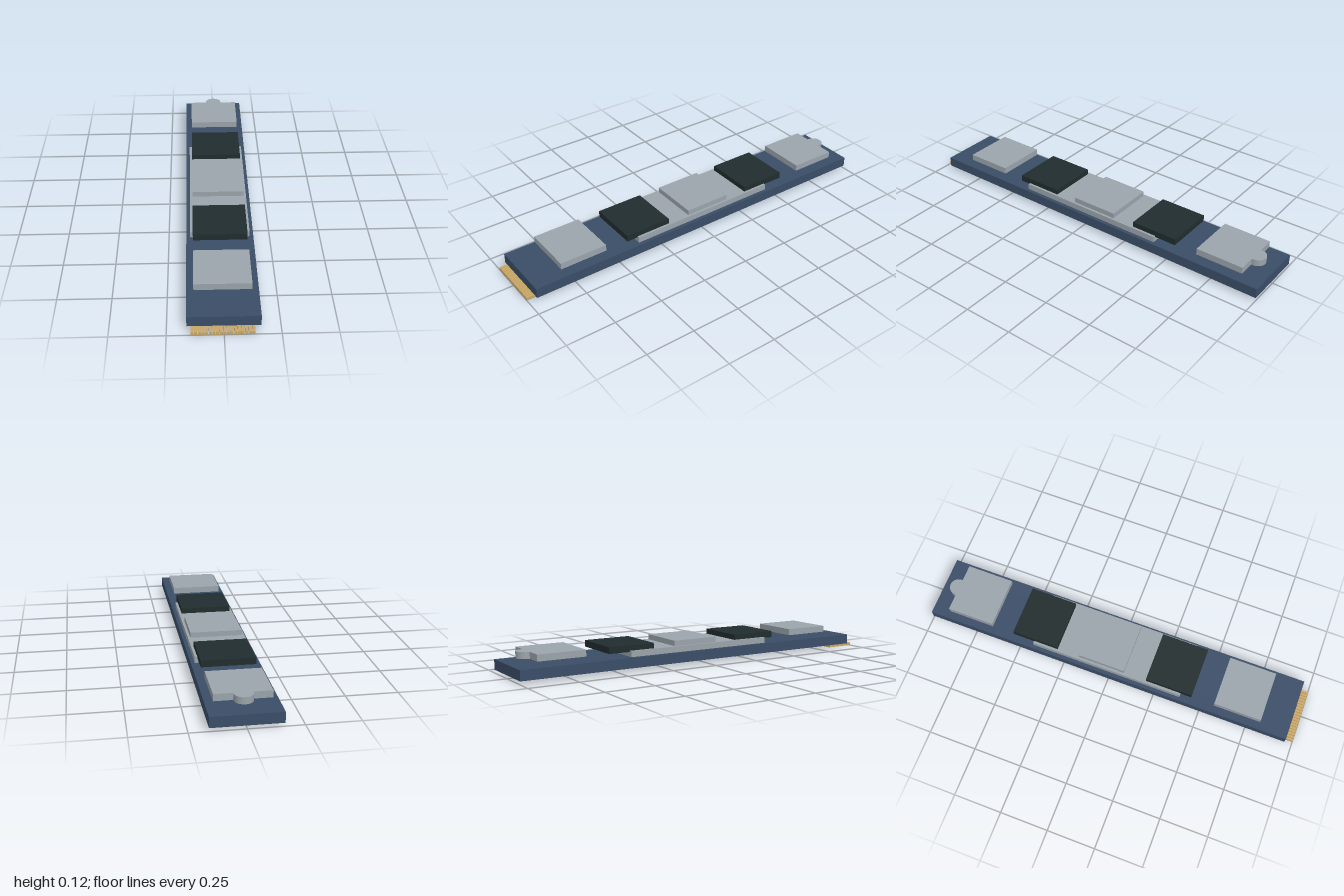
import * as THREE from 'three';

export function createModel() {
  const group = new THREE.Group();
  const material = (name, color) => {
    const m = new THREE.MeshStandardMaterial({ color });
    m.name = name;
    return m;
  };
  const blue = material('boardBlue', 0x3a4d67);
  const grey = material('plateGrey', 0x9aa4ab);
  const dark = material('chipDark', 0x202c2d);
  const gold = material('contactGold', 0xc9a765);

  // Box given by its lower and upper limits on each axis
  const addBox = (name, mat, [x0, x1], [y0, y1], [z0, z1]) => {
    const mesh = new THREE.Mesh(new THREE.BoxGeometry(x1 - x0, y1 - y0, z1 - z0), mat);
    mesh.position.set((x0 + x1) / 2, (y0 + y1) / 2, (z0 + z1) / 2);
    mesh.name = name;
    group.add(mesh);
  };

  // Circuit board and the raised plate on its middle
  addBox('board', blue, [-0.163, 0.163], [0.016, 0.067], [-1, 0.96]);
  addBox('centrePlate', grey, [-0.144, 0.144], [0.067, 0.097], [-0.423, 0.385]);

  // Row of five chips, alternating grey and dark
  const chipY = [0.091, 0.124];
  for (let i = 0; i < 5; i++) {
    const z = -0.78 + i * 0.3665;
    addBox(`chip${i + 1}`, i % 2 ? dark : grey, [-0.131, 0.131], chipY, [z - 0.123, z + 0.123]);
  }

  // Rounded tab on the rear chip, a half disc behind its edge
  const shape = new THREE.Shape();
  shape.moveTo(-0.044, 0);
  shape.lineTo(0.044, 0);
  shape.absarc(0, 0.006, 0.044, 0, Math.PI, false);
  const tabGeometry = new THREE.ExtrudeGeometry(shape, {
    depth: chipY[1] - chipY[0], bevelEnabled: false, curveSegments: 12,
  });
  tabGeometry.rotateX(-Math.PI / 2);
  const tab = new THREE.Mesh(tabGeometry, grey);
  tab.position.set(0, chipY[0], -0.903);
  tab.name = 'rearTab';
  group.add(tab);

  // Edge contacts under the front end
  for (let i = 0; i < 18; i++) {
    const x = -0.145 + i * 0.01573;
    addBox(`contact${i + 1}`, gold, [x, x + 0.0125], [0, 0.0155], [0.845, 1]);
  }
  return group;
}
